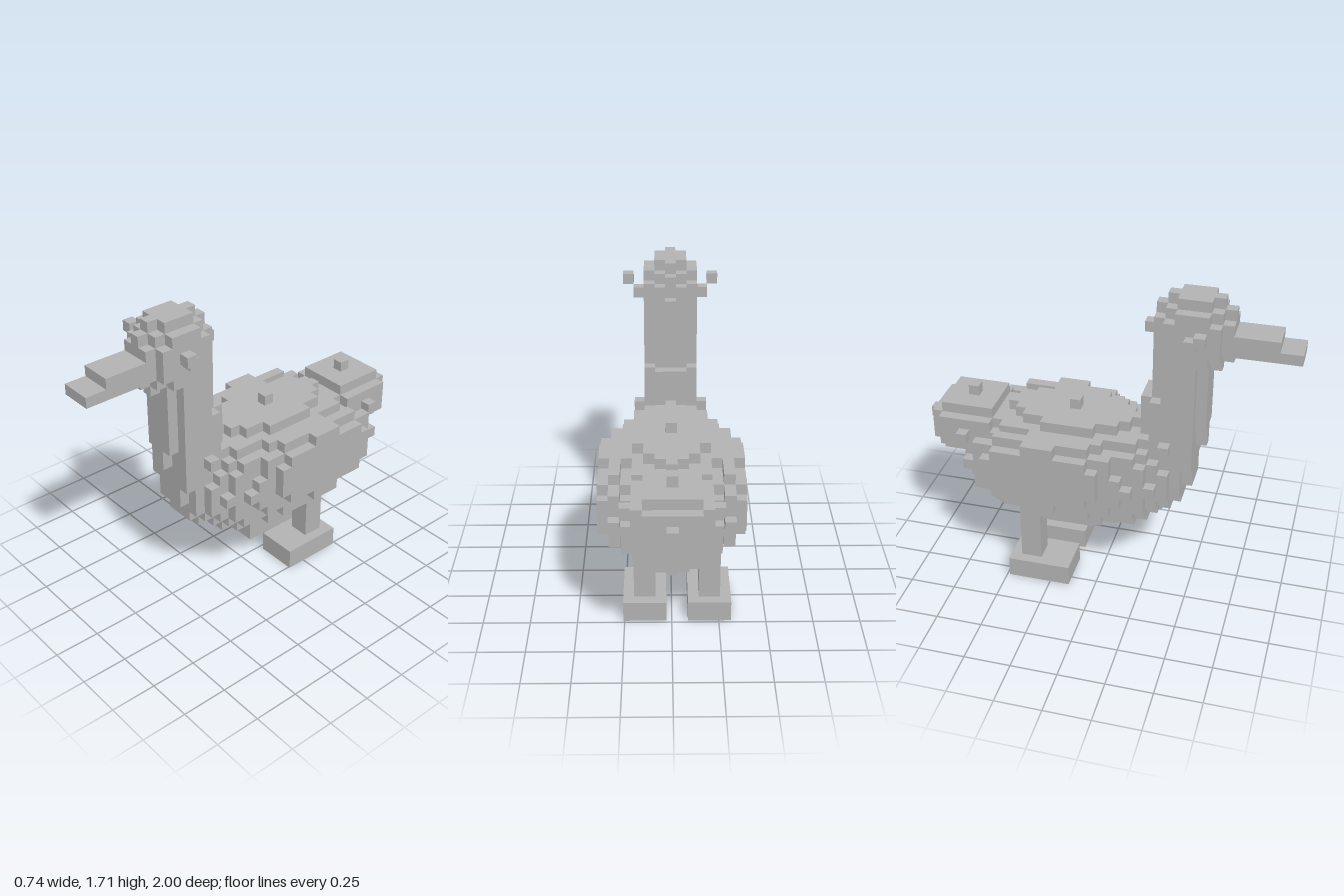
import * as THREE from 'three';

const V = 2 / 35; // edge of one cube

export function createModel() {
  const model = new THREE.Group();
  model.name = 'duck';
  const gray = new THREE.MeshStandardMaterial({ color: 0xb2b2b2 });
  gray.name = 'gray';

  // Cubes are addressed by integers: x and z centred on 0, y counted up from the ground
  const owner = new Map();
  const key = (x, y, z) => `${x},${y},${z}`;
  const fill = (part, inside) => {
    for (let x = -8; x <= 8; x++)
      for (let y = 0; y < 31; y++)
        for (let z = -18; z <= 18; z++)
          if (inside(x, y, z) && !owner.has(key(x, y, z))) owner.set(key(x, y, z), { part, p: [x, y, z] });
  };
  const ellipsoid = (cx, cy, cz, rx, ry, rz) => (x, y, z) =>
    ((x - cx) / rx) ** 2 + ((y - cy) / ry) ** 2 + ((z - cz) / rz) ** 2 <= 1.0001;

  // Rounded parts
  fill('body', ellipsoid(0, 11, -3, 6, 6, 11));
  fill('tail', ellipsoid(0, 14, -13, 4, 3, 4));
  fill('leftWing', ellipsoid(5, 12, -5, 1.62, 3.95, 7));
  fill('rightWing', ellipsoid(-5, 12, -5, 1.62, 3.95, 7));
  fill('head', ellipsoid(0, 26, 8, 3, 3.5, 4));

  // Neck: stacked discs [first layer, last layer, centre z, radius]
  const discs = [
    [11, 12, 5, 3.3], [13, 14, 6, 2.9], [15, 15, 6, 3],
    [16, 16, 6.2, 2.9], [17, 19, 6.5, 2.7], [20, 25, 7, 2.5],
  ];
  fill('neck', (x, y, z) => discs.some(([a, b, cz, r]) =>
    y >= a && y <= b && Math.hypot(x, z - cz) <= r + 1e-4));

  // Turn the exposed cube sides of each part into one mesh
  const positions = {};
  for (const { part, p } of owner.values()) {
    const out = (positions[part] ??= []);
    for (let axis = 0; axis < 3; axis++)
      for (const s of [-1, 1]) {
        const n = [...p];
        n[axis] += s;
        if (owner.has(key(...n))) continue;
        const u = (axis + 1) % 3, w = (axis + 2) % 3;
        const corner = (a, b) => {
          const c = [p[0], p[1] + 0.5, p[2]];
          c[axis] += s / 2;
          c[u] += a * s / 2;
          c[w] += b / 2;
          return c.map((q) => q * V);
        };
        const [A, B, C, D] = [corner(-1, -1), corner(1, -1), corner(1, 1), corner(-1, 1)];
        out.push(...A, ...B, ...C, ...A, ...C, ...D);
      }
  }
  for (const [name, list] of Object.entries(positions)) {
    const g = new THREE.BufferGeometry();
    g.setAttribute('position', new THREE.Float32BufferAttribute(list, 3));
    g.computeVertexNormals();
    const mesh = new THREE.Mesh(g, gray);
    mesh.name = name;
    model.add(mesh);
  }

  // Blocks given by inclusive cube ranges
  const block = (name, x0, x1, y0, y1, z0, z1) => {
    const mesh = new THREE.Mesh(
      new THREE.BoxGeometry((x1 - x0 + 1) * V, (y1 - y0 + 1) * V, (z1 - z0 + 1) * V), gray);
    mesh.position.set((x0 + x1) / 2 * V, (y0 + y1 + 1) / 2 * V, (z0 + z1) / 2 * V);
    mesh.name = name;
    model.add(mesh);
  };
  block('beakLower', -1, 1, 25, 25, 11, 17);
  block('beakUpper', -1, 1, 26, 26, 11, 15);
  block('leftEye', 4, 4, 27, 27, 9, 9);
  block('rightEye', -4, -4, 27, 27, 9, 9);
  // Legs and feet sit one cube off the mirror line
  for (const [side, x] of [['left', 2], ['right', -4]]) {
    block(side + 'Leg', x, x + 1, 2, 8, -7, -6);
    block(side + 'Foot', x - 1, x + 2, 0, 1, -8, -3);
  }
  return model;
}
